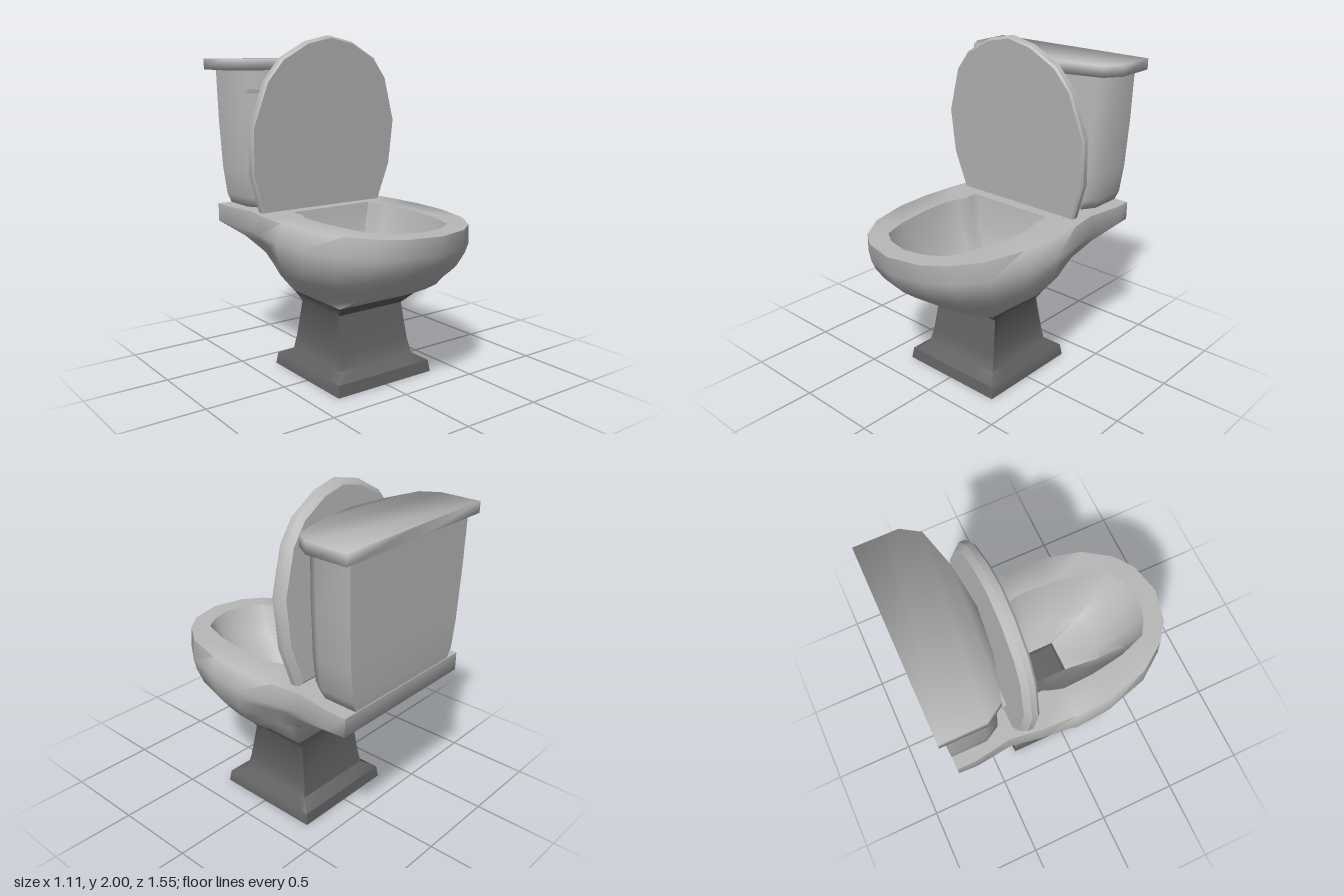
import * as THREE from 'three';
import { toCreasedNormals } from 'three/addons/utils/BufferGeometryUtils.js';

// Loft through mirrored half outlines; each runs from x = 0 round the +x side back to x = 0.
function loft(halves, crease, capStart = false, capEnd = false) {
  const pos = [], idx = [], h = halves[0].length, n = 2 * h - 2;
  for (const half of halves) {
    const mirrored = half.slice(1, -1).reverse().map(([x, y, z]) => [-x, y, z]);
    for (const p of [...half, ...mirrored]) pos.push(...p);
  }
  for (let r = 0; r < halves.length - 1; r++) {
    for (let j = 0; j < n; j++) {
      const a = r * n + j, b = r * n + (j + 1) % n;
      idx.push(a, b, b + n, a, b + n, a + n);
    }
  }
  const cap = (base, flip) => {
    for (let i = 0; i < h - 1; i++) {
      const r0 = base + i, r1 = base + i + 1;
      const l0 = base + (n - i) % n, l1 = base + (n - i - 1);
      const tris = [];
      if (r1 !== l1) tris.push([r0, r1, l1]);
      if (r0 !== l0) tris.push([r0, l1, l0]);
      for (const [a, b, c] of tris) flip ? idx.push(a, c, b) : idx.push(a, b, c);
    }
  };
  if (capStart) cap(0, true);
  if (capEnd) cap((halves.length - 1) * n, false);
  const g = new THREE.BufferGeometry();
  g.setAttribute('position', new THREE.Float32BufferAttribute(pos, 3));
  g.setIndex(idx);
  return toCreasedNormals(g, crease);
}

// Rounded-front plan and matching rectangle, as fractions of width and length
const OVAL = [[0, 1], [0.39, 0.94], [0.62, 0.83], [0.84, 0.62], [0.97, 0.3], [1, 0],
  [0.98, -0.3], [0.93, -0.55], [1, -0.85], [1, -1], [0, -1]];
const RECT = [[0, 1], [0.5, 1], [1, 1], [1, 0.6], [1, 0.3], [1, 0],
  [1, -0.3], [1, -0.55], [1, -0.85], [1, -1], [0, -1]];

// One level: height, front z, back z, half width, half width at back, squareness
function level([y, zf, zb, w, wb, q]) {
  return OVAL.map(([oa, ot], i) => {
    const a = oa + (RECT[i][0] - oa) * q, t = ot + (RECT[i][1] - ot) * q;
    return t >= 0 ? [a * w, y, t * zf] : [a * (w + (wb - w) * -t), y, -t * zb];
  });
}

// Bowed-front plan shared by the tank and its cover
const BOW = [[0, 1], [0.45, 0.94], [0.88, 0.8], [1, 0.57], [1, 0], [0, 0]];
const bow = ([y, w, zf, zb]) => BOW.map(([a, f]) => [a * w, y, zb + (zf - zb) * f]);

export function createModel() {
  const model = new THREE.Group();
  const ceramic = new THREE.MeshStandardMaterial({ color: 0xb8b8b8, side: THREE.DoubleSide });
  ceramic.name = 'light grey ceramic';
  const dark = new THREE.MeshStandardMaterial({ color: 0x626262, side: THREE.DoubleSide });
  dark.name = 'dark grey base';

  const add = (name, geometry, material) => {
    const m = new THREE.Mesh(geometry, material);
    m.name = name;
    model.add(m);
    return m;
  };

  // Pedestal with flared foot, open underneath
  add('pedestal', loft([
    [0, 0.32, -0.35, 0.34, 0.34, 1],
    [0.07, 0.31, -0.34, 0.33, 0.33, 1],
    [0.11, 0.23, -0.26, 0.265, 0.265, 1],
    [0.2, 0.205, -0.245, 0.25, 0.25, 1],
    [0.42, 0.17, -0.21, 0.23, 0.23, 1],
    [0.495, 0.25, -0.23, 0.28, 0.28, 1],
  ].map(level), 0.9, false, true), dark);

  // Outer bowl, rear shelf and flat rim
  add('bowl', loft([
    [0.49, 0.25, -0.23, 0.28, 0.28, 1],
    [0.58, 0.48, -0.28, 0.4, 0.34, 0.25],
    [0.65, 0.58, -0.31, 0.46, 0.37, 0.05],
    [0.72, 0.67, -0.35, 0.51, 0.4, 0],
    [0.8, 0.73, -0.5, 0.53, 0.45, 0],
    [0.86, 0.757, -0.75, 0.537, 0.5, 0],
    [0.97, 0.775, -0.75, 0.505, 0.5, 0],
    [0.972, 0.655, -0.22, 0.325, 0.28, 0.2],
  ].map(level), 1.35), ceramic);

  // Basin inside the rim
  add('basin', loft([
    [0.972, 0.655, -0.22, 0.325, 0.28, 0.2],
    [0.8, 0.56, -0.2, 0.28, 0.24, 0.2],
    [0.65, 0.38, -0.15, 0.2, 0.17, 0.4],
    [0.53, 0.13, -0.08, 0.1, 0.1, 1],
  ].map(level), 0.8), ceramic);

  // Drain and the pipe running down inside the pedestal
  add('drain', loft([
    [0.53, 0.13, -0.08, 0.1, 0.1, 1],
    [0.42, 0.1, -0.08, 0.08, 0.08, 1],
    [0.2, 0.03, -0.03, 0.03, 0.03, 1],
  ].map(level), 0.8), dark);

  // Raised lid, bevelled towards the back and leaning forward
  const outline = [[0, 1.045], [0.16, 1.01], [0.33, 0.915], [0.43, 0.79],
    [0.518, 0.52], [0.505, 0.24], [0.43, 0], [0, 0]];
  const lidRing = ([s, z]) => outline.map(([x, y]) => [x * s, 0.5 + (y - 0.5) * s, z]);
  const lid = add('lid', loft([[0.98, 0], [1, -0.012], [1, -0.045], [0.94, -0.078]].map(lidRing),
    0.5, true, true), ceramic);
  lid.position.set(-0.013, 0.957, -0.295);
  lid.rotation.x = 0.09;

  // Water tank, tapering at the bottom
  add('tank', loft([
    [0.97, 0.41, -0.385, -0.745],
    [1.03, 0.435, -0.372, -0.75],
    [1.2, 0.46, -0.37, -0.75],
    [1.5, 0.48, -0.37, -0.75],
    [1.81, 0.49, -0.37, -0.75],
  ].map(bow), 1.2, true, true), ceramic);

  // Tank cover
  add('tankCover', loft([
    [1.8, 0.555, -0.34, -0.78],
    [1.865, 0.555, -0.34, -0.78],
  ].map(bow), Math.PI, true, true), ceramic);

  // Flush lever on the front of the tank
  const lever = add('flushLever', new THREE.BoxGeometry(0.1, 0.025, 0.03), ceramic);
  lever.position.set(-0.42, 1.68, -0.415);
  const pivot = add('flushLeverPivot', new THREE.BoxGeometry(0.025, 0.025, 0.06), ceramic);
  pivot.position.set(-0.385, 1.68, -0.43);

  return model;
}
